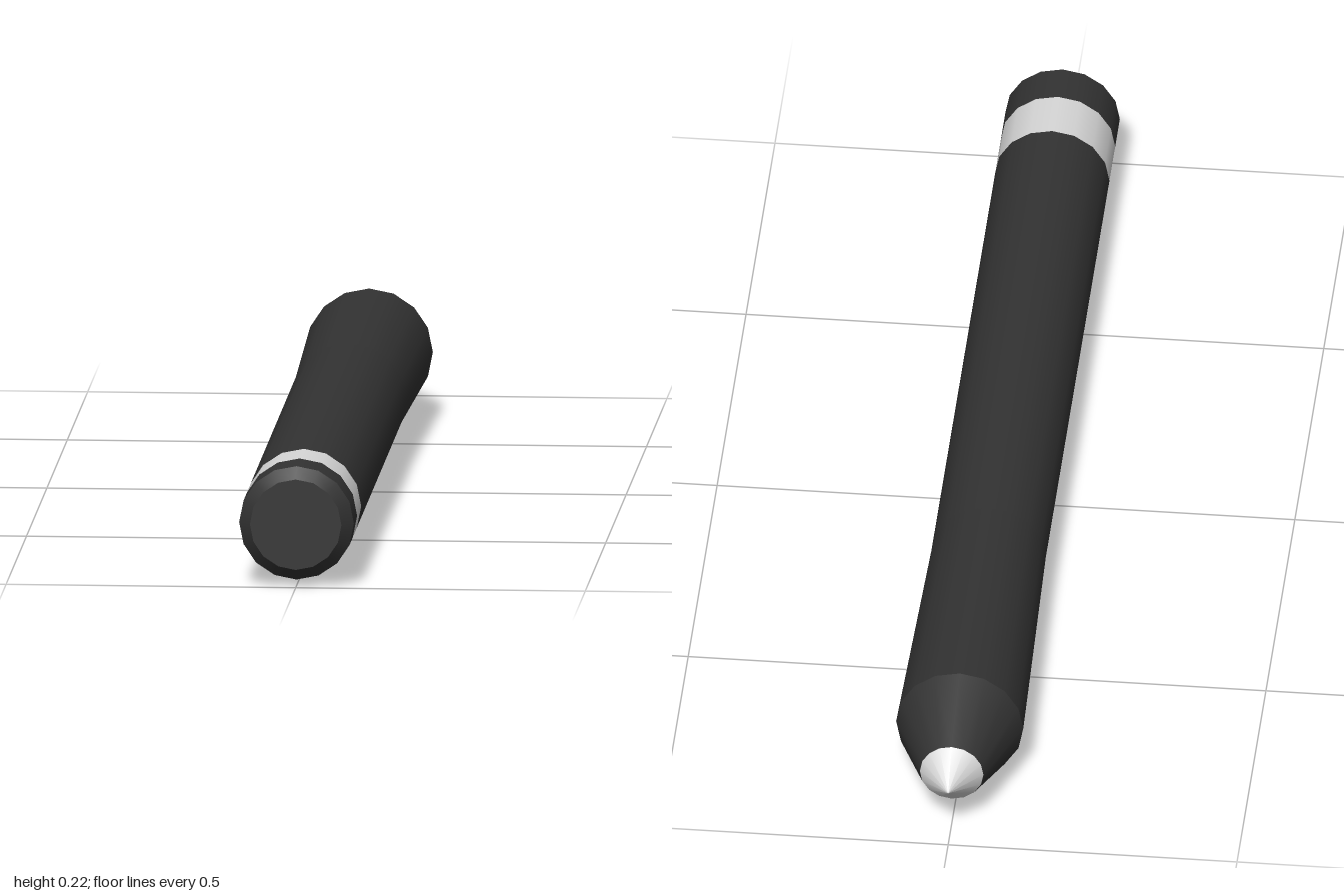
import * as THREE from 'three';

const SIDES = 16;
const AXIS_HEIGHT = 0.11;

const charcoal = new THREE.MeshStandardMaterial({ color: 0x333333 });
charcoal.name = 'charcoal';
const lightGrey = new THREE.MeshStandardMaterial({ color: 0xd9d9d9 });
lightGrey.name = 'lightGrey';

// Straight section of the pen between two rings [z, radius], with z increasing
function section(name, material, [z0, r0], [z1, r1]) {
  const profile = [new THREE.Vector2(r0, z0), new THREE.Vector2(r1, z1)];
  const geometry = new THREE.LatheGeometry(profile, SIDES);
  geometry.rotateX(Math.PI / 2); // lathe axis y becomes z
  const mesh = new THREE.Mesh(geometry, material);
  mesh.name = name;
  mesh.position.y = AXIS_HEIGHT;
  return mesh;
}

export function createModel() {
  const group = new THREE.Group();
  group.name = 'stylus';

  // Separate sections keep the edges between them crisp
  group.add(
    section('tip', lightGrey, [-1, 0], [-0.94, 0.055]),
    section('nose', charcoal, [-0.94, 0.055], [-0.8, 0.11]),
    section('grip', charcoal, [-0.8, 0.11], [-0.3, 0.099]),
    section('barrel', charcoal, [-0.3, 0.099], [0.8, 0.099]),
    section('band', lightGrey, [0.8, 0.099], [0.9, 0.099]),
    section('cap', charcoal, [0.9, 0.099], [0.98, 0.099]),
    section('capBevel', charcoal, [0.98, 0.099], [1, 0.079]),
    section('capEnd', charcoal, [1, 0.079], [1, 0]),
  );
  return group;
}
